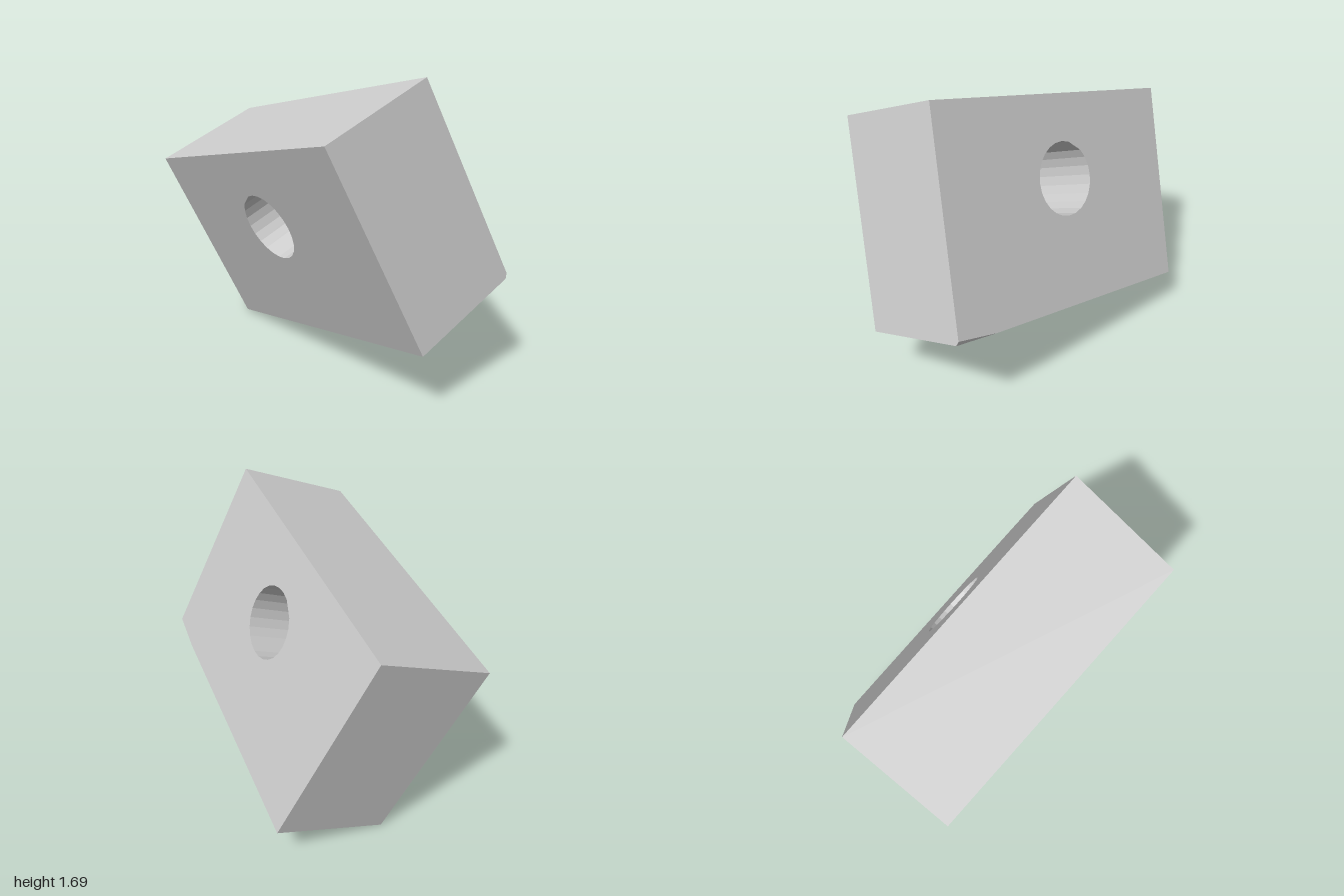
import * as THREE from 'three';

const LENGTH = 1.75, HEIGHT = 1.166, DEPTH = 0.7;
const HOLE_RADIUS = 0.205, HOLE_OFFSET = 0.117, HOLE_SIDES = 24;
// Size of the clipped corner along the three edges
const CLIP = { length: 0.25, height: 0.023, depth: 0.021 };

export function createModel() {
  const model = new THREE.Group();
  const material = new THREE.MeshStandardMaterial({ color: 0xcccccc, flatShading: true });
  const x = LENGTH / 2, y = HEIGHT / 2;
  const corner = new THREE.Vector2(-x, -y);
  const alongLength = new THREE.Vector2(-x + CLIP.length, -y);
  const alongHeight = new THREE.Vector2(-x, -y + CLIP.height);

  // Block with a faceted hole; one hole corner is skipped, leaving a wider facet
  const outline = new THREE.Shape([
    alongLength, new THREE.Vector2(x, -y), new THREE.Vector2(x, y),
    new THREE.Vector2(-x, y), alongHeight,
  ]);
  const rim = [];
  for (let i = 0; i < HOLE_SIDES; i++) {
    if (i === 4) continue;
    const a = (i / HOLE_SIDES) * Math.PI * 2;
    rim.push(new THREE.Vector2(Math.cos(a) * HOLE_RADIUS, HOLE_OFFSET + Math.sin(a) * HOLE_RADIUS));
  }
  outline.holes.push(new THREE.Path(rim));
  const options = { depth: DEPTH, bevelEnabled: false };
  const block = new THREE.Mesh(new THREE.ExtrudeGeometry(outline, options), material);
  block.name = 'block';

  // Corner wedge, its outer tip lowered to form the small chamfer
  const wedge = new THREE.ExtrudeGeometry(new THREE.Shape([corner, alongLength, alongHeight]), options);
  const p = wedge.attributes.position;
  for (let i = 0; i < p.count; i++) {
    const isTip = Math.hypot(p.getX(i) - corner.x, p.getY(i) - corner.y) < 1e-4;
    if (isTip && p.getZ(i) > DEPTH / 2) p.setZ(i, DEPTH - CLIP.depth);
  }
  wedge.computeVertexNormals();
  const chamfer = new THREE.Mesh(wedge, material);
  chamfer.name = 'chamferedCorner';

  // Tilted pose, from the directions of the block's length, height and depth
  const tilted = new THREE.Group();
  tilted.name = 'tiltedBlock';
  const lengthAxis = new THREE.Vector3(0, -0.375, -1.71).normalize();
  const depthAxis = new THREE.Vector3(0.65, 0.25, -0.055).normalize();
  const heightAxis = new THREE.Vector3().crossVectors(depthAxis, lengthAxis).normalize();
  depthAxis.crossVectors(lengthAxis, heightAxis);
  tilted.quaternion.setFromRotationMatrix(
    new THREE.Matrix4().makeBasis(lengthAxis, heightAxis, depthAxis));
  tilted.position.set(0, 0.846, 0);
  for (const part of [block, chamfer]) {
    part.position.z = -DEPTH / 2;
    tilted.add(part);
  }
  model.add(tilted);
  return model;
}
